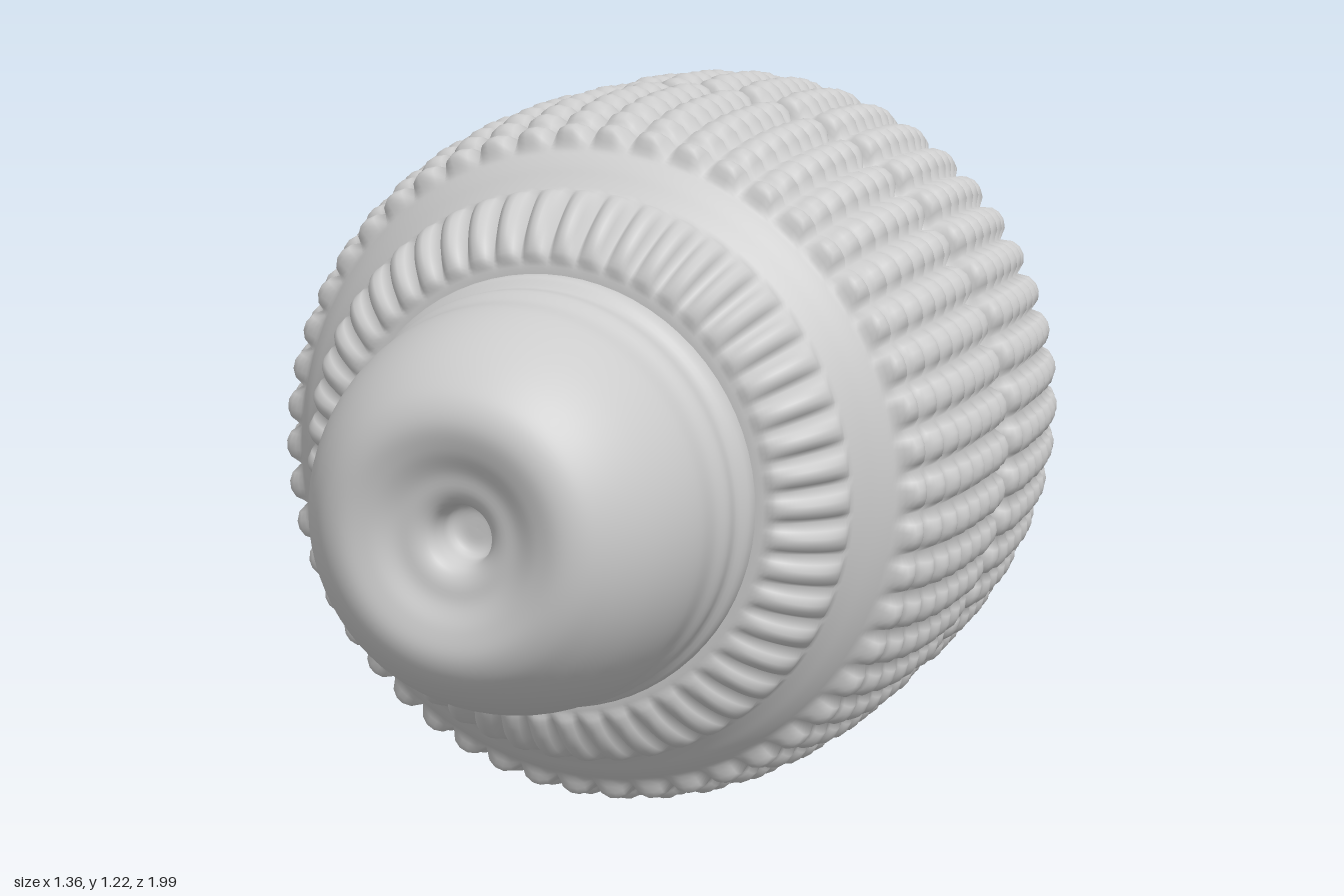
import * as THREE from 'three';

const material = new THREE.MeshStandardMaterial({ color: 0xcccccc });
const COLUMNS = 50;

// Smooth curve through (radius, axial) points, resampled evenly
function smoothProfile(points, samples) {
  const curve = new THREE.CatmullRomCurve3(points.map(([r, t]) => new THREE.Vector3(r, t, 0)), false, 'centripetal');
  return curve.getSpacedPoints(samples).map(p => new THREE.Vector2(Math.max(0, p.x), p.y));
}

// Lathe around y whose surface is pushed outwards by relief(t, angle)
function turned(name, profile, segments, relief) {
  const geometry = new THREE.LatheGeometry(profile, segments);
  const pos = geometry.attributes.position, nor = geometry.attributes.normal;
  const rows = profile.length;
  if (relief) {
    for (let i = 0; i < pos.count; i++) {
      const angle = Math.floor(i / rows) / segments * Math.PI * 2;
      const h = relief(pos.getY(i), angle);
      pos.setXYZ(i, pos.getX(i) + nor.getX(i) * h, pos.getY(i) + nor.getY(i) * h, pos.getZ(i) + nor.getZ(i) * h);
    }
    geometry.computeVertexNormals();
    // Blend the normals where the turn closes
    for (let j = 0; j < rows; j++) {
      const k = segments * rows + j;
      const n = new THREE.Vector3().fromBufferAttribute(nor, j).add(new THREE.Vector3().fromBufferAttribute(nor, k)).normalize();
      nor.setXYZ(j, n.x, n.y, n.z);
      nor.setXYZ(k, n.x, n.y, n.z);
    }
  }
  const mesh = new THREE.Mesh(geometry, material);
  mesh.name = name;
  return mesh;
}

// Rounded bead rows on the barrel, and one ring of long beads on the shoulder
function beadRelief(t, angle) {
  const across = Math.abs(Math.sin(angle * COLUMNS / 2));
  if (t > 0.02 && t < 0.45) {
    const along = Math.abs(Math.sin((t - 0.02) / 0.43 * 8 * Math.PI));
    return 0.026 * Math.pow(across, 0.6) * (0.35 + 0.65 * Math.pow(along, 0.7)) * Math.min(1, (t - 0.02) / 0.02, (0.45 - t) / 0.02);
  }
  if (t > 0.51 && t < 0.615) {
    return 0.026 * Math.pow(across, 0.7) * Math.sqrt(Math.sin((t - 0.51) / 0.105 * Math.PI));
  }
  return 0;
}

function createHalf() {
  const half = new THREE.Group();

  // Barrel from the central groove to the foot of the knob
  const barrel = smoothProfile([
    [0.545, 0], [0.56, 0.015], [0.582, 0.05], [0.584, 0.15], [0.58, 0.25], [0.568, 0.34],
    [0.55, 0.41], [0.53, 0.45], [0.51, 0.475], [0.488, 0.495], [0.468, 0.515],
    [0.435, 0.555], [0.398, 0.595], [0.37, 0.615], [0.33, 0.618],
  ], 110);
  half.add(turned('beadedBarrel', barrel, COLUMNS * 5, beadRelief));

  // Tapered knob with faint rings and a dimpled end
  const knob = smoothProfile([
    [0.345, 0.59], [0.352, 0.62], [0.35, 0.645], [0.337, 0.66], [0.337, 0.70], [0.327, 0.725],
    [0.323, 0.78], [0.308, 0.84], [0.285, 0.895], [0.252, 0.945], [0.215, 0.98],
    [0.18, 0.992], [0.14, 0.985], [0.1, 0.968], [0.07, 0.962], [0.052, 0.95],
    [0.045, 0.925], [0.042, 0.9], [0.03, 0.89], [0, 0.888],
  ], 90);
  half.add(turned('knob', knob, 72));

  half.rotation.x = Math.PI / 2;
  return half;
}

export function createModel() {
  const model = new THREE.Group();
  model.name = 'beadedBarrelOrnament';

  // Two matching halves, back to back on a slanted axis
  const names = ['frontHalf', 'backHalf'];
  names.forEach((name, i) => {
    const side = new THREE.Group();
    side.name = name;
    side.add(createHalf());
    side.rotation.y = THREE.MathUtils.degToRad(20) + i * Math.PI;
    side.position.y = 0.603;
    model.add(side);
  });
  return model;
}
